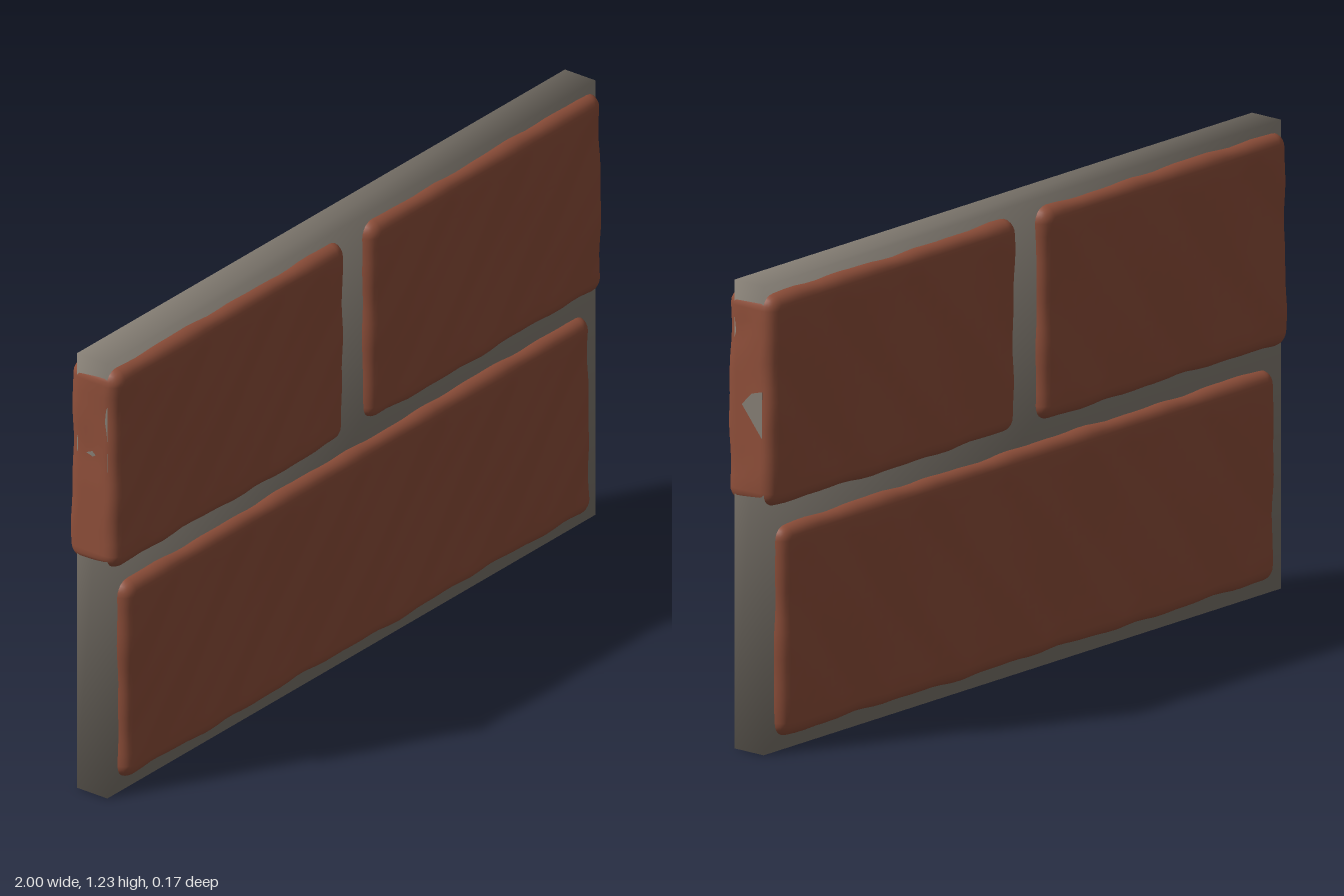
import * as THREE from 'three';
import { mergeVertices } from 'three/addons/utils/BufferGeometryUtils.js';

const brickMat = new THREE.MeshStandardMaterial({ name: 'brick red', color: 0x8f4f3a });
const mortarMat = new THREE.MeshStandardMaterial({ name: 'mortar grey', color: 0x857e74 });

const RADIUS = 0.04;
const BAND = 3; // grid rows spent on each rounded edge

// Shift an even grid coordinate so that the rounded edges get their own rows
function regrid(v, size, segments) {
  const i = Math.round((v / size + 0.5) * segments);
  const half = size / 2;
  if (i <= BAND) return -half + (RADIUS * i) / BAND;
  if (i >= segments - BAND) return half - (RADIUS * (segments - i)) / BAND;
  return -half + RADIUS + ((size - 2 * RADIUS) * (i - BAND)) / (segments - 2 * BAND);
}

// Smooth bumpy field built from a few waves
function bump(x, y, z, seed) {
  return (
    Math.sin(9 * x + 7 * y + 11 * z + seed) * 0.4 +
    Math.sin(23 * x - 17 * y + 19 * z + seed * 2.3) * 0.35 +
    Math.sin(-41 * x + 37 * y + 29 * z + seed * 3.7) * 0.25
  );
}

// Worn, soft-edged brick between two corners in x and y
function makeBrick(name, x0, x1, y0, y1, seed) {
  const size = [x1 - x0, y1 - y0, 0.16];
  const segs = [Math.round(size[0] / 0.035), 20, 10];
  let geo = new THREE.BoxGeometry(...size, ...segs);
  geo.deleteAttribute('uv');
  geo.deleteAttribute('normal');
  const pos = geo.attributes.position;
  const p = new THREE.Vector3();
  const core = new THREE.Vector3();
  const limit = new THREE.Vector3(...size).multiplyScalar(0.5).subScalar(RADIUS);
  const low = limit.clone().negate();
  for (let i = 0; i < pos.count; i++) {
    p.fromBufferAttribute(pos, i);
    p.set(regrid(p.x, size[0], segs[0]), regrid(p.y, size[1], segs[1]), regrid(p.z, size[2], segs[2]));
    core.copy(p).clamp(low, limit);
    const dir = p.clone().sub(core).normalize();
    p.copy(core).addScaledVector(dir, RADIUS + 0.005 * bump(p.x, p.y, p.z, seed));
    // Outer ends stay flush with the panel
    const x = THREE.MathUtils.clamp(p.x + (x0 + x1) / 2, -1, 1);
    pos.setXYZ(i, x, p.y + (y0 + y1) / 2, p.z);
  }
  geo = mergeVertices(geo, 1e-5);
  geo.computeVertexNormals();
  const mesh = new THREE.Mesh(geo, brickMat);
  mesh.name = name;
  return mesh;
}

// Mortar slab with corner normals blended for soft shading
function makeMortar() {
  const geo = new THREE.BoxGeometry(1.992, 1.23, 0.097);
  const pos = geo.attributes.position;
  const n = new THREE.Vector3();
  for (let i = 0; i < pos.count; i++) {
    n.set(Math.sign(pos.getX(i)), Math.sign(pos.getY(i)), Math.sign(pos.getZ(i))).normalize();
    geo.attributes.normal.setXYZ(i, n.x, n.y, n.z);
  }
  const mesh = new THREE.Mesh(geo, mortarMat);
  mesh.name = 'mortarSlab';
  mesh.position.y = 0.615;
  return mesh;
}

// Small patch of mortar showing through the end of one brick
function makeMortarPatch() {
  const shape = new THREE.Shape();
  shape.moveTo(-0.02, 0.91);
  shape.lineTo(0.047, 0.83);
  shape.lineTo(0.047, 0.953);
  shape.lineTo(0.012, 0.943);
  const geo = new THREE.ExtrudeGeometry(shape, { depth: 0.008, bevelEnabled: false });
  geo.rotateY(Math.PI / 2);
  const mesh = new THREE.Mesh(geo, mortarMat);
  mesh.name = 'mortarPatch';
  mesh.position.x = 0.993;
  return mesh;
}

export function createModel() {
  const wall = new THREE.Group();
  wall.name = 'brickWallPanel';
  wall.add(
    makeMortar(),
    makeMortarPatch(),
    makeBrick('upperRightBrick', -1, -0.05, 0.645, 1.205, 1.3),
    makeBrick('upperLeftBrick', 0.045, 1, 0.645, 1.205, 4.1),
    makeBrick('lowerBrick', -0.955, 0.955, 0.035, 0.592, 7.7)
  );
  return wall;
}
